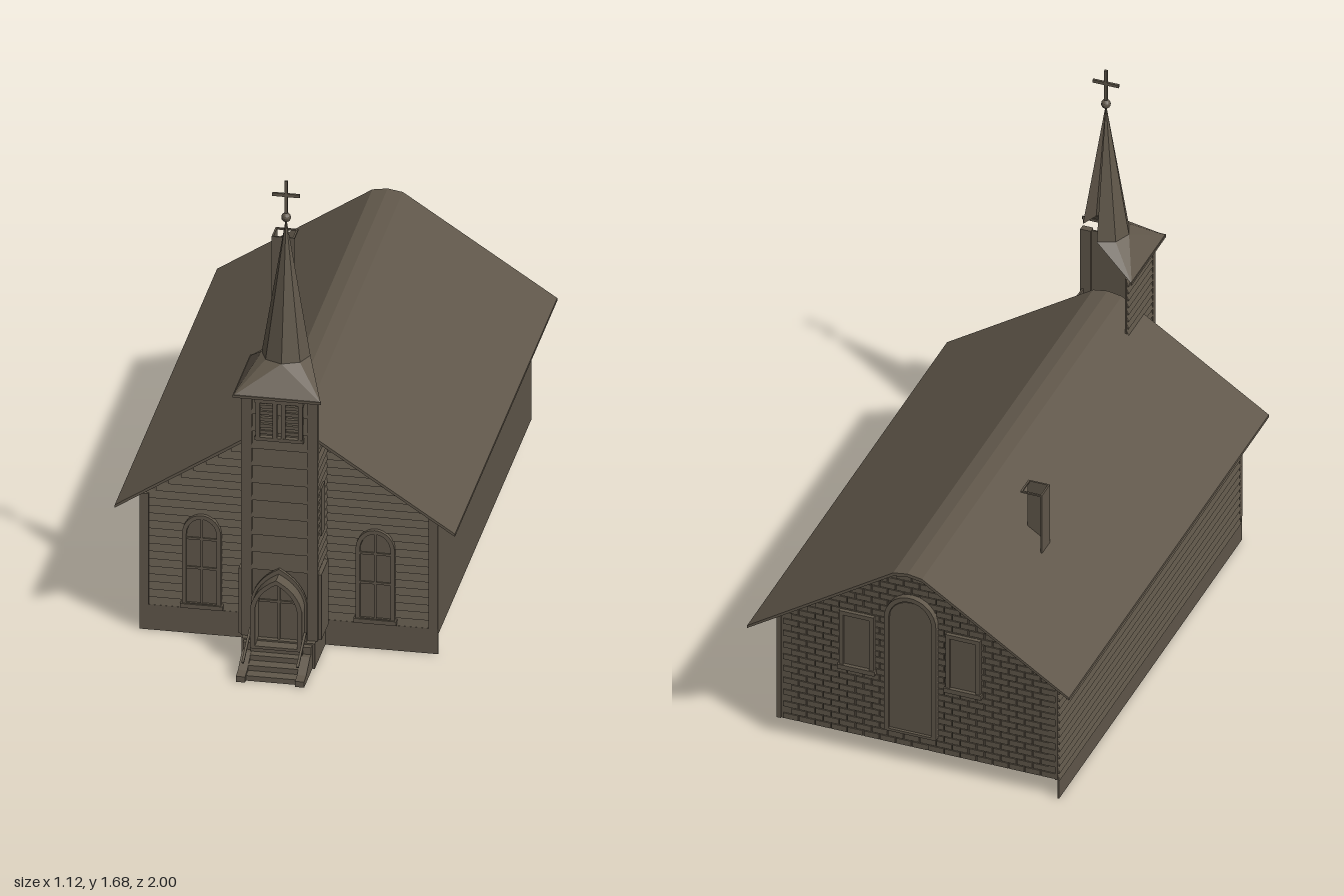
import * as THREE from 'three';
import { mergeGeometries } from 'three/addons/utils/BufferGeometryUtils.js';

const timber = new THREE.MeshStandardMaterial({ color: 0x60574a, side: THREE.DoubleSide, flatShading: true });
timber.name = 'weatheredBrown';

// Box given by its minimum and maximum on each axis
const slab = (x0, x1, y0, y1, z0, z1) =>
  new THREE.BoxGeometry(x1 - x0, y1 - y0, z1 - z0).translate((x0 + x1) / 2, (y0 + y1) / 2, (z0 + z1) / 2);

// Open surface from a list of quads or triangles
function sheet(faces) {
  const pos = [];
  for (const f of faces) for (let i = 1; i < f.length - 1; i++) pos.push(...f[0], ...f[i], ...f[i + 1]);
  const g = new THREE.BufferGeometry();
  g.setAttribute('position', new THREE.Float32BufferAttribute(pos, 3));
  g.computeVertexNormals();
  return g;
}

const outline = pts => new THREE.Shape(pts.map(p => new THREE.Vector2(p[0], p[1])));
const extrude = (shape, depth, z) =>
  new THREE.ExtrudeGeometry(shape, { depth, bevelEnabled: false, curveSegments: 8 }).translate(0, 0, z);

// Round or pointed arch standing on y0
function arch(w, y0, spring, top, pointed, Type = THREE.Shape) {
  const s = new Type();
  s.moveTo(-w, y0);
  s.lineTo(w, y0);
  s.lineTo(w, spring);
  if (pointed) {
    s.quadraticCurveTo(w * 0.85, spring + (top - spring) * 0.65, 0, top);
    s.quadraticCurveTo(-w * 0.85, spring + (top - spring) * 0.65, -w, spring);
  } else s.absellipse(0, spring, w, top - spring, 0, Math.PI, false);
  s.lineTo(-w, y0);
  return s;
}
function archFrame(w, y0, spring, top, t, depth, z, pointed) {
  const s = arch(w, y0, spring, top, pointed);
  s.holes.push(arch(w - t, y0 + t * 0.6, spring, top - t, pointed, THREE.Path));
  return extrude(s, depth, z);
}

// Underside of the roof at a given x
const eaveLine = x => Math.min(0.785, 0.82 - 0.667 * Math.abs(x));

// Lapped boards facing +z, leaning out at the bottom
function boards(y0, y1, pitch, z, span) {
  const list = [];
  for (let y = y0; y < y1 - 0.005; y += pitch) {
    const top = Math.min(y + pitch, y1), [a, b] = span(top), f = z + 0.009;
    list.push(sheet([
      [[a, y, f], [b, y, f], [b, top, z + 0.001], [a, top, z + 0.001]],
      [[a, y, z], [b, y, z], [b, y, f], [a, y, f]],
    ]));
  }
  return mergeGeometries(list);
}

export function createModel() {
  const model = new THREE.Group();
  model.name = 'church';
  const add = (name, geo) => {
    const list = Array.isArray(geo) ? mergeGeometries(geo.map(g => {
      const n = g.index ? g.toNonIndexed() : g;
      n.deleteAttribute('uv');
      return n;
    })) : geo;
    const m = new THREE.Mesh(list, timber);
    m.name = name;
    model.add(m);
    return m;
  };

  // Hall: gable ends, side walls, raised floor and skirts on two sides
  const gable = outline([[-0.485, 0.07], [0.485, 0.07], [0.485, 0.5], [0.05, 0.785], [-0.05, 0.785], [-0.485, 0.5]]);
  add('frontGableWall', extrude(gable, 0.01, 0.66));
  add('backGableWall', extrude(gable, 0.01, -0.905));
  add('leftWall', slab(0.475, 0.49, 0.07, 0.5, -0.91, 0.67));
  add('rightWall', slab(-0.485, -0.475, 0.07, 0.5, -0.91, 0.67));
  add('floor', slab(-0.485, 0.485, 0.07, 0.075, -0.905, 0.67));
  add('frontSkirt', slab(-0.49, 0.49, 0, 0.09, 0.672, 0.68));
  add('rightSkirt', slab(-0.49, -0.484, 0, 0.075, -0.91, 0.68));

  // Siding on the front gable and the right wall
  add('frontSiding', boards(0.09, 0.775, 0.0274, 0.67, y => {
    const x = Math.min(0.48, Math.max(0.05, (0.82 - y) / 0.667));
    return [-x, x];
  }));
  add('rightSiding', boards(0.07, 0.49, 0.028, 0, () => [-0.91, 0.67]).rotateY(-Math.PI / 2).translate(-0.483, 0, 0));
  add('frontCornerBoards', [-1, 1].map(s => slab(s * 0.475 - 0.015, s * 0.475 + 0.015, 0.09, 0.49, 0.665, 0.684)));

  // Brickwork on the back gable, laid in staggered courses
  const bricks = [];
  for (let r = 0; r < 31; r++) {
    const y = 0.072 + r * 0.023;
    for (let x = -0.48 + (r % 2) * 0.028; x < 0.43; x += 0.056) {
      if (y + 0.02 < eaveLine(Math.max(Math.abs(x), Math.abs(x + 0.052))))
        bricks.push(slab(x, x + 0.052, y, y + 0.02, -0.909, -0.904));
    }
  }
  add('backBricks', bricks);

  // Back door and windows
  add('backDoor', extrude(arch(0.075, 0.13, 0.57, 0.64, false), 0.012, -0.92).translate(0.02, 0, 0));
  add('backDoorFrame', archFrame(0.09, 0.13, 0.57, 0.665, 0.016, 0.025, -0.93, false).translate(0.02, 0, 0));
  for (const x of [0.21, -0.16]) {
    add('backWindowPane', slab(x - 0.05, x + 0.05, 0.34, 0.54, -0.913, -0.905));
    add('backWindowFrame', [
      slab(x - 0.06, x - 0.045, 0.33, 0.55, -0.922, -0.905), slab(x + 0.045, x + 0.06, 0.33, 0.55, -0.922, -0.905),
      slab(x - 0.06, x + 0.06, 0.535, 0.55, -0.922, -0.905), slab(x - 0.065, x + 0.065, 0.325, 0.342, -0.926, -0.905),
    ]);
  }

  // Roof with a blunted ridge
  add('roof', extrude(outline([
    [-0.56, 0.458], [-0.56, 0.468], [-0.05, 0.802], [0, 0.81], [0.05, 0.802], [0.557, 0.468], [0.557, 0.458],
    [0.05, 0.79], [0, 0.798], [-0.05, 0.79]]), 1.74, -1));

  // Chimney, an open flue with a thin rim
  add('chimney', [slab(-0.275, -0.2, 0.62, 0.88, -0.456, -0.45), slab(-0.275, -0.269, 0.62, 0.88, -0.52, -0.45),
    slab(-0.275, -0.2, 0.874, 0.88, -0.52, -0.514), slab(-0.206, -0.2, 0.874, 0.88, -0.52, -0.45)]);

  // Arched front windows
  for (const s of [-1, 1]) {
    const x = s * 0.285;
    add('frontWindowPane', extrude(arch(0.05, 0.11, 0.355, 0.415, false), 0.008, 0.674).translate(x, 0, 0));
    add('frontWindowFrame', archFrame(0.064, 0.105, 0.36, 0.43, 0.014, 0.018, 0.672, false).translate(x, 0, 0));
    add('frontWindowBars', [slab(x - 0.004, x + 0.004, 0.11, 0.415, 0.68, 0.688),
      slab(x - 0.05, x + 0.05, 0.235, 0.243, 0.68, 0.687), slab(x - 0.05, x + 0.05, 0.34, 0.348, 0.68, 0.687)]);
    add('frontWindowSill', slab(x - 0.07, x + 0.07, 0.095, 0.11, 0.672, 0.694));
  }

  // Tower: the left side stops at the roof and the back is open
  add('towerWalls', [slab(-0.12, 0.12, 0.09, 0.97, 0.824, 0.83), slab(-0.12, -0.114, 0.09, 0.97, 0.605, 0.83),
    slab(0.114, 0.12, 0.09, 0.74, 0.67, 0.83)]);
  add('towerFrontSiding', boards(0.33, 0.95, 0.062, 0.829, () => [-0.092, 0.092]));
  add('towerRightSiding', boards(0.09, 0.97, 0.0275, 0, () => [0.605, 0.82]).rotateY(-Math.PI / 2).translate(-0.118, 0, 0));
  add('towerLeftSiding', boards(0.09, 0.74, 0.0275, 0, () => [-0.82, -0.67]).rotateY(Math.PI / 2).translate(0.118, 0, 0));
  add('towerCornerBoards', [-1, 1].map(s => slab(s * 0.108 - 0.018, s * 0.108 + 0.018, 0.09, 0.97, 0.818, 0.841)));
  for (const s of [-1, 1]) {
    add('towerSidePanel', slab(s * 0.129 - 0.007, s * 0.129 + 0.007, 0.09, 0.325, 0.712, 0.83));
    add('towerSideWindow', slab(s * 0.127 - 0.004, s * 0.127 + 0.004, 0.45, 0.62, 0.745, 0.8));
  }

  // Belfry opening with paired louvres
  const belfry = [slab(-0.08, 0.08, 0.935, 0.95, 0.83, 0.85), slab(-0.08, 0.08, 0.8, 0.812, 0.83, 0.85)];
  for (const x of [-0.07, -0.014, 0.014, 0.07]) belfry.push(slab(x - 0.007, x + 0.007, 0.805, 0.945, 0.83, 0.849));
  for (const x of [-0.042, 0.042]) for (let i = 0; i < 5; i++)
    belfry.push(slab(x - 0.024, x + 0.024, 0.822 + i * 0.023, 0.834 + i * 0.023, 0.832, 0.844));
  add('belfryLouvres', belfry);

  // Spire: eight-sided with a square flare, open toward the back left
  const cz = 0.726, ring = i => {
    const a = i * Math.PI / 4;
    return [0.08 * Math.sin(a), 1.06, cz + 0.08 * Math.cos(a)];
  };
  const spire = [];
  for (let i = -4; i < 2; i++) spire.push([[0, 1.55, cz], ring(i), ring(i + 1)]);
  const backRight = [-0.145, 0.97, 0.587], frontRight = [-0.145, 0.97, 0.887], frontLeft = [0.145, 0.97, 0.887];
  spire.push([backRight, ring(-3), ring(-4)], [backRight, frontRight, ring(-2)], [backRight, ring(-2), ring(-3)],
    [frontRight, ring(-1), ring(-2)], [frontRight, frontLeft, ring(0)], [frontRight, ring(0), ring(-1)],
    [frontLeft, ring(1), ring(0)], [frontLeft, ring(2), ring(1)]);
  add('spire', sheet(spire));
  add('flareEdge', [slab(-0.145, 0.145, 0.965, 0.974, 0.88, 0.887), slab(-0.145, -0.138, 0.965, 0.974, 0.587, 0.887)]);

  // Finial ball and cross
  add('finialBall', new THREE.SphereGeometry(0.016, 12, 8).translate(0, 1.55, cz));
  add('cross', [slab(-0.005, 0.005, 1.55, 1.68, cz - 0.004, cz + 0.004),
    slab(-0.045, 0.045, 1.624, 1.635, cz - 0.004, cz + 0.004)]);

  // Entrance: pointed hood and double door
  add('entranceHood', archFrame(0.085, 0.075, 0.22, 0.325, 0.016, 0.065, 0.835, true));
  add('entranceSurround', archFrame(0.092, 0.07, 0.225, 0.342, 0.02, 0.012, 0.838, true));
  add('entranceDoor', extrude(arch(0.068, 0.085, 0.22, 0.31, true), 0.006, 0.836));
  add('doorTrim', [slab(-0.004, 0.004, 0.09, 0.305, 0.84, 0.849), slab(-0.066, 0.066, 0.22, 0.228, 0.84, 0.848)]);

  // Porch base, steps, cheek walls and rails
  add('porchBase', slab(-0.12, 0.12, 0, 0.09, 0.675, 0.86));
  add('porchLanding', slab(-0.085, 0.085, 0.06, 0.078, 0.84, 0.89));
  for (let i = 0; i < 3; i++) add('step', slab(-0.082, 0.082, i * 0.02, i * 0.02 + 0.018, 0.85, 0.985 - i * 0.035));
  const cheek = outline([[-1, 0], [-1, 0.02], [-0.965, 0.026], [-0.9, 0.06], [-0.88, 0.06], [-0.88, 0.085], [-0.84, 0.085], [-0.84, 0]]);
  for (const s of [-1, 1]) {
    add('cheekWall', extrude(cheek, 0.03, -0.015).rotateY(Math.PI / 2).translate(s * 0.097, 0, 0));
    const rail = add('handrail', new THREE.BoxGeometry(0.008, 0.006, 0.145));
    rail.position.set(s * 0.09, 0.1, 0.933);
    rail.rotation.x = 0.42;
  }
  return model;
}
